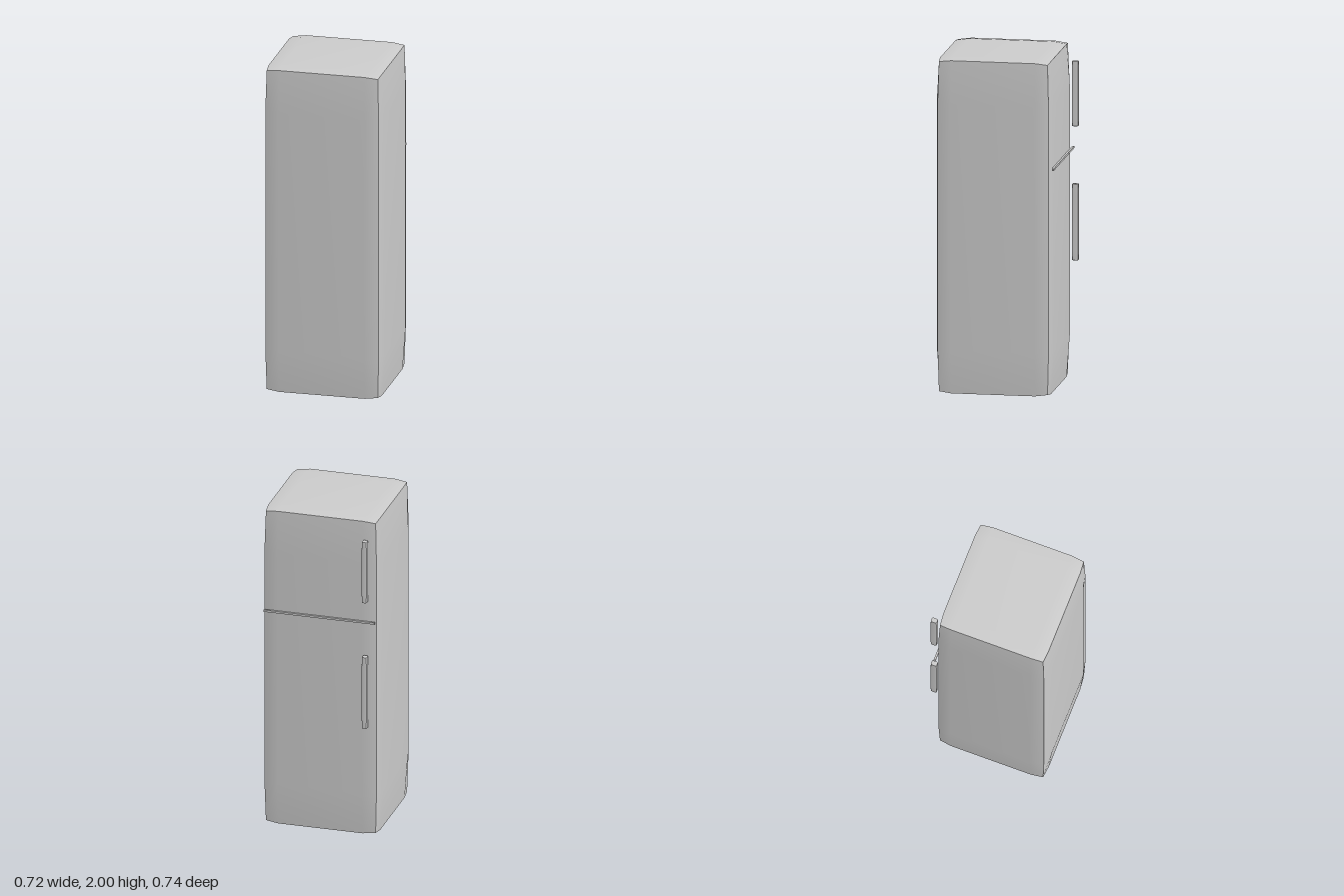
import * as THREE from 'three';

// Box whose six faces bulge: a 3x3 grid per face, with edges and corners drawn in.
// half: full half sizes; inner: grid line half positions; edge, corner: half sizes there.
function bulgedBox(half, inner, edge, corner) {
  const g = new THREE.BoxGeometry(2, 2, 2, 3, 3, 3);
  const p = g.attributes.position;
  for (let i = 0; i < p.count; i++) {
    const v = [p.getX(i), p.getY(i), p.getZ(i)];
    const extremes = v.filter((c) => Math.abs(c) > 0.9).length;
    const reach = [half, half, edge, corner][extremes];
    const out = v.map((c, a) => Math.sign(c) * (Math.abs(c) > 0.9 ? reach[a] : inner[a]));
    p.setXYZ(i, ...out);
  }
  g.computeVertexNormals(); // smooth within a face, sharp between faces
  return g;
}

export function createModel() {
  const model = new THREE.Group();
  const enamel = new THREE.MeshStandardMaterial({ color: 0xcccccc });
  enamel.name = 'greyEnamel';

  const add = (name, geometry, x, y, z) => {
    const mesh = new THREE.Mesh(geometry, enamel);
    mesh.name = name;
    mesh.position.set(x, y, z);
    model.add(mesh);
  };

  // Cabinet
  add('cabinet', bulgedBox(
    [0.358, 1, 0.347], [0.257, 0.73, 0.248],
    [0.34, 0.988, 0.328], [0.333, 0.979, 0.321]), 0, 1, 0.023);

  // Strip between the freezer and fridge doors
  add('doorStrip', new THREE.BoxGeometry(0.674, 0.012, 0.012), 0, 1.361, -0.33);

  // Door handles
  for (const [name, bottom, top] of [['freezerHandle', 1.497, 1.885], ['fridgeHandle', 0.7, 1.156]]) {
    const h = (top - bottom) / 2;
    add(name, bulgedBox(
      [0.016, h, 0.02], [0.009, h * 0.74, 0.012],
      [0.014, h * 0.99, 0.018], [0.012, h * 0.98, 0.016]), -0.284, (top + bottom) / 2, -0.352);
  }
  return model;
}
